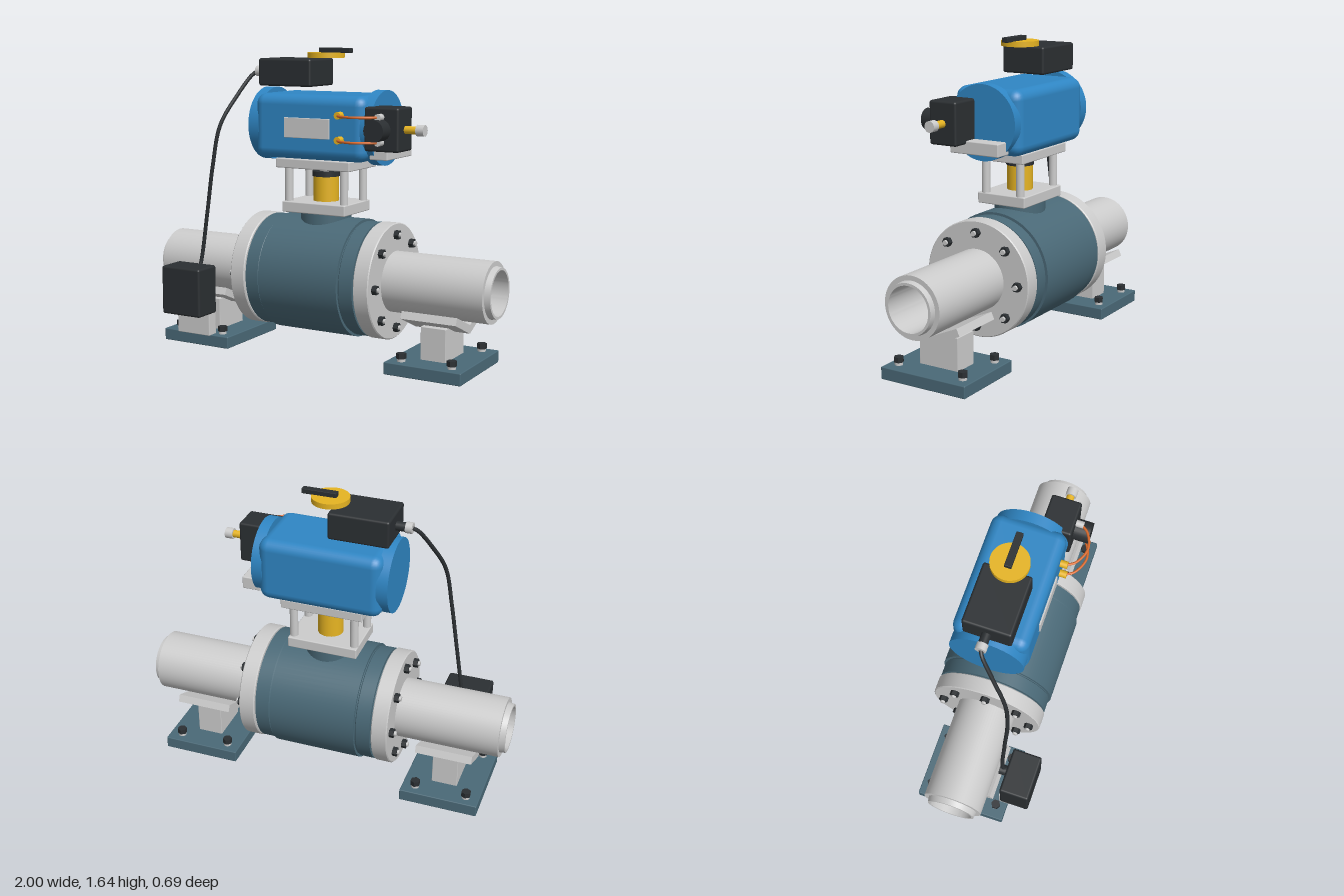
import * as THREE from 'three';
import { toCreasedNormals } from 'three/addons/utils/BufferGeometryUtils.js';
import { RoundedBoxGeometry } from 'three/addons/geometries/RoundedBoxGeometry.js';

const mat = (color) => new THREE.MeshStandardMaterial({ color });
const AX = 0.43; // height of the pipe axis
const ZC = -0.03; // z of the pipe axis and actuator

export function createModel() {
  const grey = mat(0xcccccc), slate = mat(0x4a6977), blue = mat(0x2f86c4);
  const yellow = mat(0xe6b422), black = mat(0x2b2f32), copper = mat(0xd9692a);
  const root = new THREE.Group();
  root.name = 'actuatedBallValve';

  const add = (name, geo, m, x = 0, y = 0, z = 0, parent = root) => {
    const mesh = new THREE.Mesh(geo, m);
    mesh.name = name;
    mesh.position.set(x, y, z);
    parent.add(mesh);
    return mesh;
  };
  // Box given by its limits, optionally with rounded edges
  const box = (name, m, [x0, x1], [y0, y1], [z0, z1], r = 0.006) =>
    add(name, new RoundedBoxGeometry(x1 - x0, y1 - y0, z1 - z0, 3, r), m,
      (x0 + x1) / 2, (y0 + y1) / 2, (z0 + z1) / 2);
  // Cylinder between a and b along one axis
  const rod = (name, m, axis, a, b, r, x, y, z, sides = 32, parent = root) => {
    const g = new THREE.CylinderGeometry(r, r, b - a, sides);
    if (axis === 'x') g.rotateZ(-Math.PI / 2);
    if (axis === 'z') g.rotateX(Math.PI / 2);
    const mesh = add(name, sides < 8 ? toCreasedNormals(g, 0.5) : g, m, x, y, z, parent);
    mesh.position[axis] = (a + b) / 2;
    return mesh;
  };
  // Turned part around the pipe axis; profile points are [radius, x]
  const turned = (name, m, pts) => {
    const g = new THREE.LatheGeometry(pts.map(([r, x]) => new THREE.Vector2(r, x)), 72);
    g.rotateZ(-Math.PI / 2);
    return add(name, toCreasedNormals(g, 0.5), m, 0, AX, ZC);
  };
  const tube = (name, m, pts, r) => add(name, new THREE.TubeGeometry(
    new THREE.CatmullRomCurve3(pts.map((p) => new THREE.Vector3(...p))), 48, r, 10), m);

  // Pipe, open from end to end
  turned('pipe', grey, [[0.117, -1], [0.13, -1], [0.135, -0.97], [0.16, -0.97], [0.16, 0.97],
    [0.135, 0.97], [0.13, 1], [0.117, 1], [0.117, -1]].flatMap(
    ([r, x], i, a) => (i === 0 ? [[r, x]] : [[r, x]])));

  // Valve body with stepped shoulders
  turned('valveBody', slate, [[0.15, -0.335], [0.285, -0.335], [0.285, -0.32], [0.303, -0.32],
    [0.303, -0.245], [0.298, -0.24], [0.298, -0.235], [0.313, -0.235], [0.313, 0.235],
    [0.298, 0.235], [0.298, 0.24], [0.303, 0.245], [0.303, 0.32], [0.285, 0.32],
    [0.285, 0.335], [0.15, 0.335]]);

  for (const s of [-1, 1]) {
    // Flange and its ring of eight bolts
    const [a, b] = s > 0 ? [0.328, 0.415] : [-0.415, -0.328];
    turned('flange', grey, [[0.15, a], [0.302, a], [0.307, a + 0.005], [0.307, b - 0.005],
      [0.302, b], [0.15, b]]);
    for (let i = 0; i < 8; i++) {
      const t = (i * Math.PI) / 4;
      const y = AX + 0.247 * Math.sin(t), z = ZC + 0.247 * Math.cos(t);
      const span = (p, q) => (s > 0 ? [p, q] : [-q, -p]);
      rod('flangeNut', black, 'x', ...span(0.41, 0.44), 0.025, 0, y, z, 6);
      rod('flangeStud', grey, 'x', ...span(0.41, 0.452), 0.013, 0, y, z, 16);
    }

    // Pipe support: base plate, post, V saddle and anchor bolts
    const cx = s * 0.69;
    box('supportBase', slate, [cx - 0.212, cx + 0.212], [0, 0.065], [ZC - 0.25, ZC + 0.25], 0.005);
    box('supportPost', grey, [cx - 0.07, cx + 0.07], [0.06, 0.238], [ZC - 0.115, ZC + 0.115], 0.003);
    const v = new THREE.Shape([[0, 0.203], [0.183, 0.283], [0.166, 0.32], [0, 0.248],
      [-0.166, 0.32], [-0.183, 0.283]].map((p) => new THREE.Vector2(...p)));
    const saddle = new THREE.ExtrudeGeometry(v, { depth: 0.305, bevelEnabled: false });
    saddle.translate(0, 0, -0.1525).rotateY(Math.PI / 2);
    add('supportSaddle', saddle, grey, cx, 0, ZC);
    for (const dx of [-0.14, 0.14]) for (const dz of [-0.192, 0.192]) {
      rod('anchorWasher', grey, 'y', 0.06, 0.083, 0.021, cx + dx, 0, ZC + dz, 20);
      rod('anchorNut', black, 'y', 0.08, 0.108, 0.026, cx + dx, 0, ZC + dz, 6);
    }
  }

  // Bonnet, mounting plates, columns and stem
  rod('bonnetNeck', slate, 'y', 0.66, 0.775, 0.135, 0, 0, ZC, 48);
  box('lowerMountPlate', grey, [-0.19, 0.19], [0.77, 0.828], [ZC - 0.143, ZC + 0.143]);
  box('upperMountPlate', grey, [-0.222, 0.222], [1.007, 1.058], [ZC - 0.153, ZC + 0.153]);
  for (const x of [-0.167, 0.167]) for (const dz of [-0.105, 0.105])
    rod('mountColumn', grey, 'y', 0.82, 1.01, 0.022, x, 0, ZC + dz, 24);
  rod('stemCoupling', yellow, 'y', 0.82, 0.965, 0.068, 0, 0, ZC);
  rod('stemCollar', black, 'y', 0.96, 0.987, 0.074, 0, 0, ZC);
  rod('stem', grey, 'y', 0.98, 1.01, 0.035, 0, 0, ZC);

  // Actuator housing with round end caps and blank name plate
  box('actuatorHousing', blue, [-0.33, 0.33], [1.06, 1.4], [ZC - 0.197, ZC + 0.197], 0.055);
  rod('actuatorEndCap', blue, 'x', -0.365, -0.305, 0.195, 0, 1.23, ZC, 64);
  rod('actuatorEndCap', blue, 'x', 0.305, 0.362, 0.195, 0, 1.23, ZC, 64);
  box('namePlate', grey, [-0.138, 0.133], [1.175, 1.28], [0.155, 0.175], 0.003);

  // Solenoid on its bracket, with coil and exhaust
  box('solenoidBracket', grey, [0.335, 0.437], [1.077, 1.145], [-0.172, 0.115]);
  box('solenoidBody', black, [0.335, 0.528], [1.127, 1.35], [0.015, 0.175], 0.012);
  rod('solenoidCoil', black, 'z', 0.16, 0.257, 0.055, 0.43, 1.237, 0);
  rod('exhaustNipple', yellow, 'x', 0.52, 0.6, 0.02, 0, 1.237, 0.095, 20);
  rod('exhaustMuffler', grey, 'x', 0.595, 0.637, 0.029, 0, 1.237, 0.095, 24);

  // Air lines between actuator and solenoid
  for (const y of [1.302, 1.176]) {
    rod('airPortFitting', yellow, 'z', 0.15, 0.205, 0.019, 0.197, y, 0, 20);
    rod('solenoidFitting', grey, 'z', 0.165, 0.215, 0.018, 0.432, y, 0, 20);
    tube('airLine', copper, [[0.197, y, 0.195], [0.225, y, 0.238], [0.315, y, 0.274],
      [0.4, y, 0.243], [0.432, y, 0.2]], 0.0065);
  }

  // Limit switch box with position indicator
  box('switchBox', black, [-0.345, -0.025], [1.435, 1.58], [ZC - 0.125, ZC + 0.125], 0.012);
  rod('indicatorDisc', yellow, 'y', 1.585, 1.613, 0.098, 0, 0, ZC, 48);
  box('indicatorPointer', black, [-0.035, 0.15], [1.611, 1.637], [ZC - 0.018, ZC + 0.018], 0.003);
  rod('cableGland', black, 'x', -0.4, -0.34, 0.024, 0, 1.507, ZC, 24);
  rod('cableGlandNut', grey, 'x', -0.43, -0.395, 0.029, 0, 1.507, ZC, 24);

  // Signal cable down to the junction box
  tube('signalCable', black, [[-0.425, 1.507, ZC], [-0.45, 1.49, -0.015], [-0.51, 1.37, 0.06],
    [-0.566, 1.217, 0.137], [-0.602, 1, 0.16], [-0.645, 0.735, 0.157], [-0.69, 0.455, 0.16],
    [-0.695, 0.42, 0.175]], 0.0105);
  box('junctionBracket', grey, [-0.8, -0.588], [0.062, 0.22], [0.17, 0.235], 0.004);
  box('junctionBox', black, [-0.822, -0.573], [0.187, 0.453], [0.183, 0.346], 0.012);
  rod('junctionGland', black, 'z', 0.145, 0.2, 0.028, -0.697, 0.415, 0, 24);

  return root;
}
